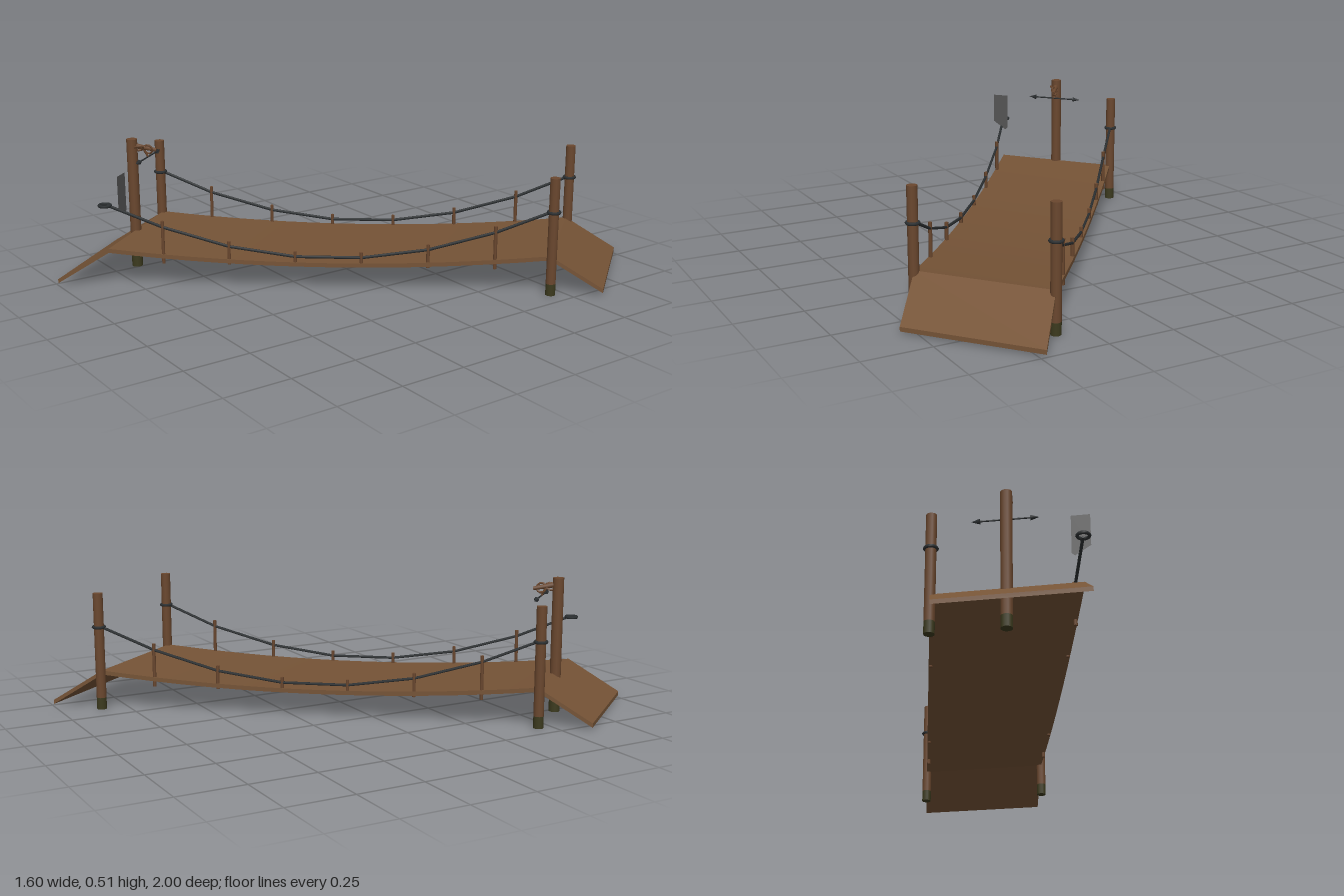
import * as THREE from 'three';
import { toCreasedNormals } from 'three/addons/utils/BufferGeometryUtils.js';

const mat = (name, color, side = THREE.FrontSide) => {
  const m = new THREE.MeshStandardMaterial({ color, side });
  m.name = name;
  return m;
};

export function createModel() {
  const model = new THREE.Group();
  model.name = 'ropeBridge';
  const plank = mat('plank brown', 0x755336);
  const wood = mat('post brown', 0x6a472e);
  const moss = mat('moss green', 0x3c3a1e);
  const rope = mat('dark rope', 0x2c3032);
  const cloth = mat('grey plate', 0x555555, THREE.DoubleSide);

  // Skewed bridge frame: s runs along the span, w across it, both from -1 to 1
  const at = (s, w, y) => new THREE.Vector3(0.64 * s + 0.16 * w, y, -0.8 * s + 0.2 * w);
  const HINGE = 0.805;
  const deckY = (s) => {
    const a = Math.abs(s);
    return a <= HINGE ? 0.108 + 0.042 * (a / HINGE) ** 2
      : 0.15 - 0.125 * (a - HINGE) / (1 - HINGE);
  };
  const ropeY = (s) => 0.125 + 0.195 * (s / 0.8) ** 2;

  const add = (name, geo, material, parent = model) => {
    const mesh = new THREE.Mesh(geo, material);
    mesh.name = name;
    parent.add(mesh);
    return mesh;
  };
  // Round bar between two points
  const rod = (name, a, b, r0, r1, material, sides = 8) => {
    const d = b.clone().sub(a);
    const mesh = add(name, new THREE.CylinderGeometry(r1, r0, d.length(), sides), material);
    mesh.position.copy(a).addScaledVector(d, 0.5);
    mesh.quaternion.setFromUnitVectors(new THREE.Vector3(0, 1, 0), d.normalize());
    return mesh;
  };

  // Sagging deck with a ramp at each end, bent from one segmented slab
  const stations = [-1];
  const SPAN = 16;
  for (let i = 0; i <= SPAN; i++) stations.push(HINGE * (2 * i / SPAN - 1));
  stations.push(1);
  const n = stations.length - 1;
  const slab = new THREE.BoxGeometry(1, 1, 1, n, 1, 1);
  const pos = slab.attributes.position;
  for (let i = 0; i < pos.count; i++) {
    const s = stations[Math.round((pos.getX(i) + 0.5) * n)];
    const p = at(s, pos.getZ(i) * 2, deckY(s) - (pos.getY(i) < 0 ? 0.016 : 0));
    pos.setXYZ(i, p.x, p.y, p.z);
  }
  add('deckAndRamps', toCreasedNormals(slab, 0.4), plank);

  // Posts with mossy feet: three at the corners, a taller one on the ramp
  const post = (name, s, w, h, r) => {
    rod(name + 'Foot', at(s, w, 0), at(s, w, 0.045), r, r, moss, 12);
    rod(name, at(s, w, 0.045), at(s, w, h), r, r, wood, 12);
  };
  post('cornerPost', -0.81, -1, 0.45, 0.019);
  post('cornerPost', 0.81, -1, 0.45, 0.019);
  post('cornerPost', 0.81, 1, 0.45, 0.019);
  post('rampPost', -0.81, 0, 0.515, 0.021);

  // Rope rails with balusters and lashings at the corners
  const nodes = [-0.8, -0.605, -0.363, -0.121, 0.121, 0.363, 0.605, 0.8];
  const tops = [0.15, 0.185, 0.26];
  for (const side of [-1, 1]) {
    nodes.forEach((s, i) => {
      const w = side * (Math.abs(s) > 0.7 ? 1 : 0.97);
      if (i > 0) {
        const q = nodes[i - 1];
        const v = side * (Math.abs(q) > 0.7 ? 1 : 0.97);
        rod('railRope', at(q, v, ropeY(q)), at(s, w, ropeY(s)), 0.0055, 0.0055, rope, 6);
      }
      if (Math.abs(s) < 0.7) {
        const top = tops[Math.round((Math.abs(s) - 0.121) / 0.242)];
        rod('baluster', at(s, w, 0.095), at(s, w, top), 0.007, 0.007, wood, 6);
      } else {
        const ring = add('lashing', new THREE.TorusGeometry(0.021, 0.006, 6, 14), rope);
        ring.rotation.x = Math.PI / 2;
        ring.position.copy(at(Math.sign(s) * 0.81, side, 0.32));
      }
    });
  }

  // Thin hanging plate beside the open corner, set across the span
  const p = new THREE.Shape([[-0.033, 0.075], [-0.033, -0.07], [-0.022, -0.08], [0.033, -0.045], [0.033, 0.075]]
    .map(([x, y]) => new THREE.Vector2(x, y)));
  const plate = add('hangingPlate', new THREE.ShapeGeometry(p), cloth);
  plate.position.set(-0.316, 0.365, 0.797);
  plate.rotation.y = -Math.atan2(0.2, 0.16);

  // Double-ended pointer hung from a bracket on the ramp post
  const a = new THREE.Vector3(-0.555, 0.445, 0.51);
  const b = new THREE.Vector3(-0.405, 0.445, 0.69);
  const inA = a.clone().lerp(b, 0.13), inB = b.clone().lerp(a, 0.13);
  rod('pointerShaft', inA, inB, 0.003, 0.003, rope, 6);
  rod('pointerTip', inA, a, 0.01, 0, rope, 6);
  rod('pointerTip', inB, b, 0.01, 0, rope, 6);
  rod('bracket', new THREE.Vector3(-0.515, 0.49, 0.645), new THREE.Vector3(-0.46, 0.472, 0.575), 0.011, 0.007, wood, 7);
  rod('bracketTwig', new THREE.Vector3(-0.49, 0.48, 0.615), new THREE.Vector3(-0.48, 0.445, 0.6), 0.005, 0.004, wood, 6);
  [[-0.495, 0.48, 0.63, 1.2], [-0.478, 0.475, 0.6, 0.3]].forEach(([x, y, z, tilt]) => {
    const loop = add('bracketLoop', new THREE.TorusGeometry(0.018, 0.004, 6, 12), wood);
    loop.position.set(x, y, z);
    loop.rotation.set(tilt, 0.6, 0);
  });

  return model;
}
